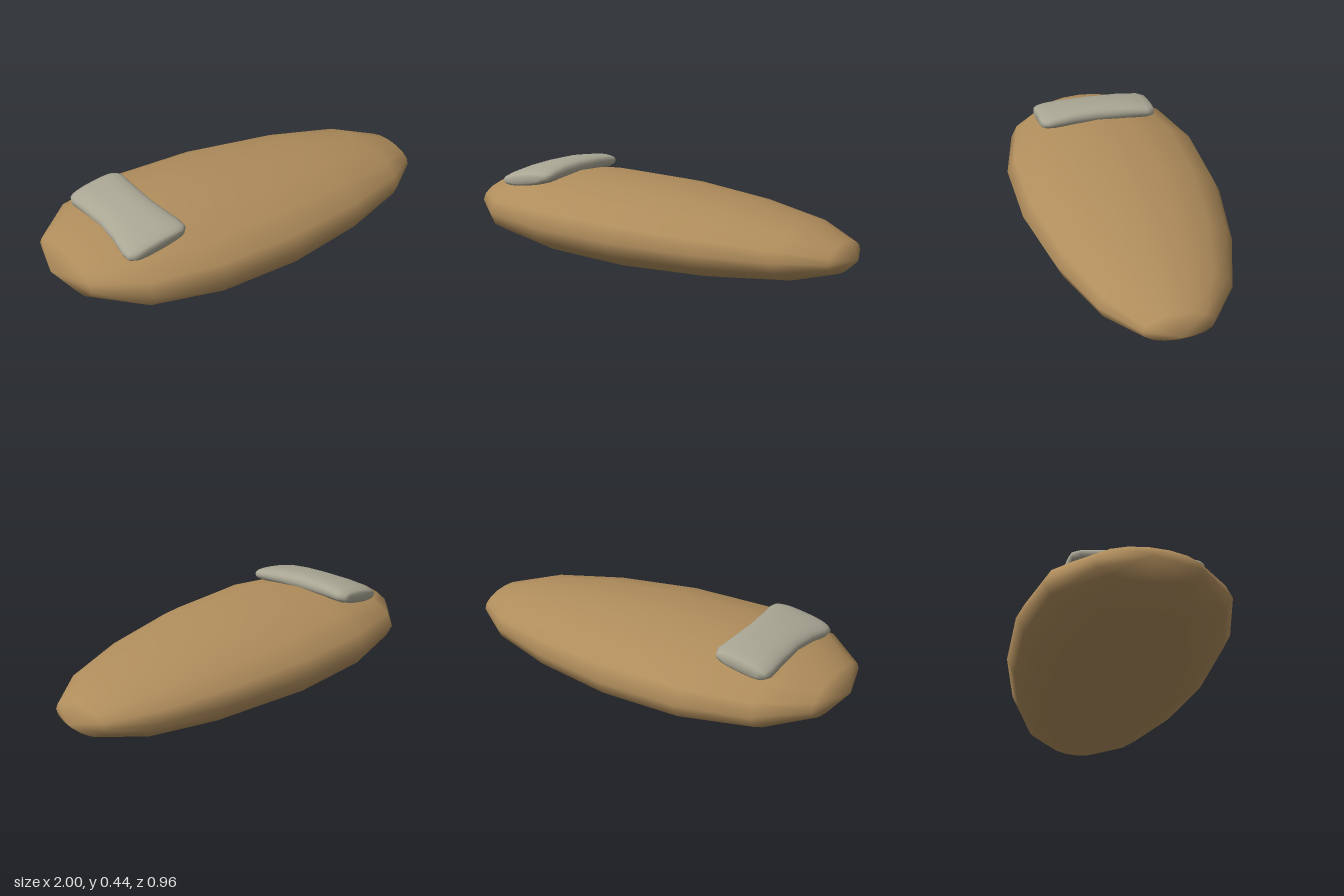
import * as THREE from 'three';
import { mergeVertices } from 'three/addons/utils/BufferGeometryUtils.js';

// Lofts superellipse rings along z. Section: [z, centreX, centreY, halfWidth, halfHeight]
function loft(sections, sides, power) {
  const pos = [], index = [];
  const bend = (v) => Math.sign(v) * Math.pow(Math.abs(v), power);
  for (const [z, cx, cy, a, b] of sections) {
    for (let j = 0; j < sides; j++) {
      const t = (j / sides) * Math.PI * 2;
      pos.push(cx + a * bend(Math.cos(t)), cy + b * bend(Math.sin(t)), z);
    }
  }
  for (let i = 0; i < sections.length - 1; i++) {
    for (let j = 0; j < sides; j++) {
      const k = (j + 1) % sides;
      const a = i * sides + j, b = i * sides + k;
      const c = a + sides, d = b + sides;
      if (sections[i][3] > 0) index.push(a, b, d);
      if (sections[i + 1][3] > 0) index.push(a, d, c);
    }
  }
  let geo = new THREE.BufferGeometry();
  geo.setAttribute('position', new THREE.Float32BufferAttribute(pos, 3));
  geo.setIndex(index);
  geo = mergeVertices(geo, 1e-5); // closes the pointed ends
  geo.computeVertexNormals();
  return geo;
}

export function createModel() {
  const group = new THREE.Group();

  // Flattened egg-shaped body, wide at -x and tapering to +x
  const bodyGeo = loft([
    [-1, 0, 0.232, 0, 0],
    [-0.93, 0, 0.228, 0.228, 0.083],
    [-0.73, 0, 0.22, 0.404, 0.15],
    [-0.4, 0, 0.21, 0.482, 0.186],
    [0, 0, 0.196, 0.478, 0.191],
    [0.4, 0, 0.183, 0.408, 0.168],
    [0.735, 0, 0.172, 0.298, 0.126],
    [0.935, 0, 0.165, 0.157, 0.066],
    [1, 0, 0.16, 0, 0],
  ], 16, 1);
  bodyGeo.rotateY(Math.PI / 2);
  const body = new THREE.Mesh(bodyGeo, new THREE.MeshStandardMaterial({ color: 0xb08d5c }));
  body.name = 'body';
  group.add(body);

  // Soft slab lying across the wide end, pinched in the middle
  const padGeo = loft([
    [-0.292, 0.002, -0.012, 0, 0],
    [-0.294, 0.002, -0.012, 0.09, 0.018],
    [-0.285, 0.002, -0.011, 0.122, 0.03],
    [-0.25, 0.002, -0.008, 0.137, 0.039],
    [-0.15, 0, -0.002, 0.131, 0.045],
    [0, 0, 0, 0.127, 0.047],
    [0.12, -0.002, -0.002, 0.136, 0.045],
    [0.22, -0.004, -0.008, 0.151, 0.039],
    [0.26, -0.004, -0.011, 0.149, 0.033],
    [0.28, -0.004, -0.012, 0.13, 0.026],
    [0.288, -0.004, -0.013, 0.09, 0.016],
    [0.284, -0.004, -0.013, 0, 0],
  ], 28, 0.8);
  const pad = new THREE.Mesh(padGeo, new THREE.MeshStandardMaterial({ color: 0xa9a694 }));
  pad.name = 'pad';
  pad.position.set(-0.615, 0.387, 0);
  pad.rotation.z = 0.16;
  group.add(pad);

  return group;
}
